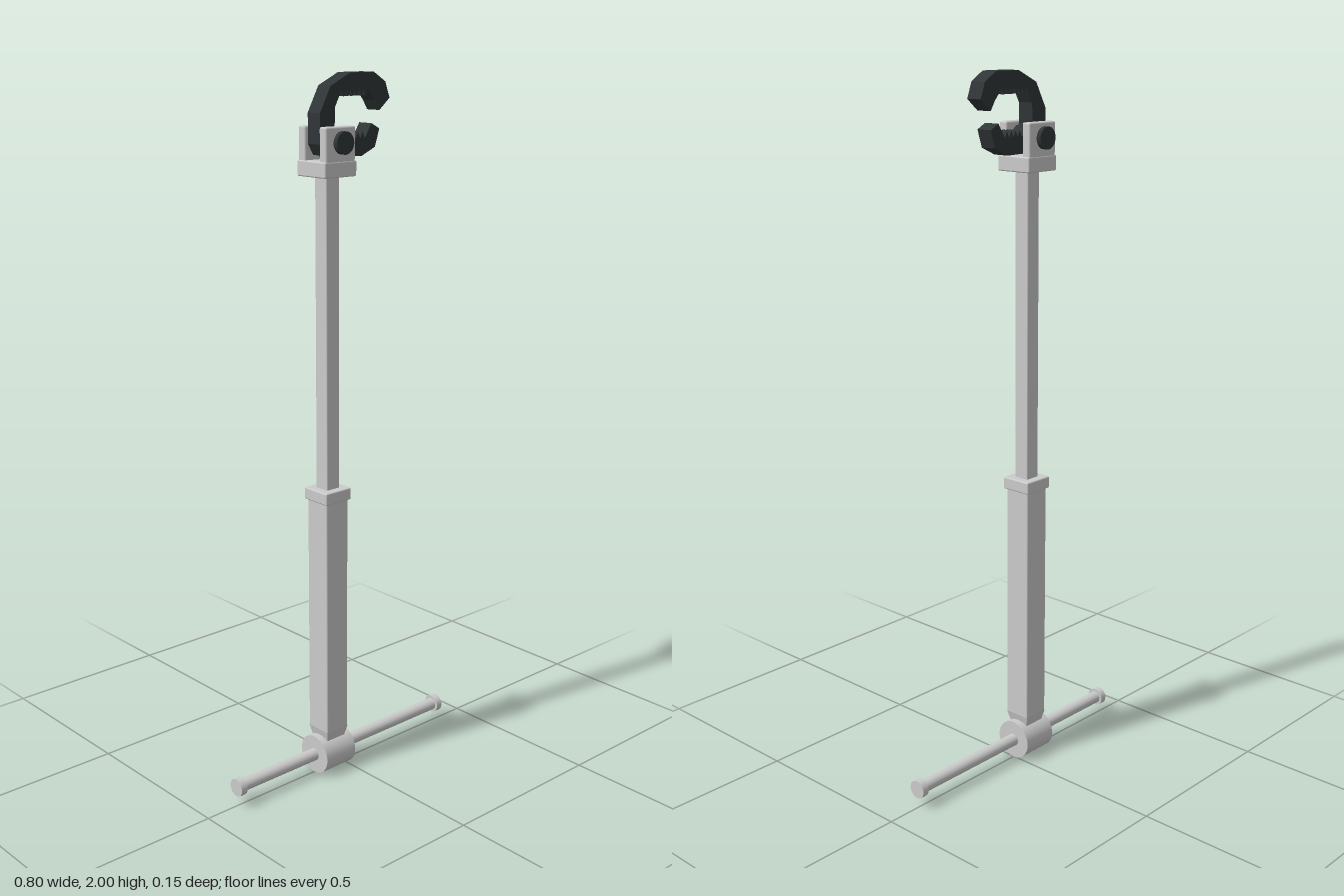
import * as THREE from 'three';
import { RoundedBoxGeometry } from 'three/addons/geometries/RoundedBoxGeometry.js';

const metal = new THREE.MeshStandardMaterial({ color: 0xcccccc });
const dark = new THREE.MeshStandardMaterial({ color: 0x303537 });
const AXIS_X = -0.053; // centre line of the shaft

export function createModel() {
  const model = new THREE.Group();
  model.name = 'basinWrench';

  const add = (name, geometry, material, x, y, z = 0) => {
    const mesh = new THREE.Mesh(geometry, material);
    mesh.name = name;
    mesh.position.set(x, y, z);
    model.add(mesh);
    return mesh;
  };
  const rod = (name, radius, length, axis, material, x, y, z = 0) => {
    const g = new THREE.CylinderGeometry(radius, radius, length, 32);
    if (axis === 'x') g.rotateZ(Math.PI / 2);
    else g.rotateX(Math.PI / 2);
    return add(name, g, material, x, y, z);
  };
  const block = (name, w, y0, y1, d, bevel, x = AXIS_X, z = 0) =>
    add(name, new RoundedBoxGeometry(w, y1 - y0, d, 2, bevel), metal, x, (y0 + y1) / 2, z);

  // Sliding T-handle with end caps, passing through the hub
  rod('handleBar', 0.018, 0.78, 'x', metal, 0, 0.057);
  for (const s of [-1, 1]) rod('handleCap', 0.026, 0.02, 'x', metal, s * 0.39, 0.057);
  rod('hub', 0.057, 0.11, 'x', metal, AXIS_X, 0.057);

  // Telescoping square shaft; the outer tube tapers at its foot
  block('outerTube', 0.08, 0.13, 0.85, 0.08, 0.004);
  const foot = new THREE.CylinderGeometry(0.04 * Math.SQRT2, 0.032 * Math.SQRT2, 0.035, 4);
  foot.rotateY(Math.PI / 4);
  const footMesh = add('tubeFoot', foot.toNonIndexed(), metal, AXIS_X, 0.1175);
  footMesh.geometry.computeVertexNormals();
  block('collar', 0.093, 0.835, 0.87, 0.093, 0.004);
  block('innerShaft', 0.046, 0.86, 1.75, 0.046, 0.003);

  // Forked head with cheek plates, pivot pin and knobs
  block('headBase', 0.112, 1.735, 1.777, 0.112, 0.004);
  for (const s of [-1, 1]) {
    block('cheekPlate', 0.104, 1.74, 1.866, 0.027, 0.005, AXIS_X, s * 0.0415);
    rod('pinKnob', 0.03, 0.014, 'z', dark, AXIS_X, 1.825, s * 0.067);
  }
  rod('pivotPin', 0.02, 0.13, 'z', metal, AXIS_X, 1.825);

  // Zigzag teeth from point a to point b; depth is measured along y
  const teeth = (a, b, count, depth) => {
    const out = [a];
    for (let i = 0; i < count; i++) {
      for (const f of [0.5, 1]) {
        const t = (i + f) / count;
        out.push([a[0] + (b[0] - a[0]) * t, a[1] + (b[1] - a[1]) * t + (f === 0.5 ? depth : 0)]);
      }
    }
    return out;
  };
  const jaw = (name, points) => {
    const shape = new THREE.Shape(points.map(([x, y]) => new THREE.Vector2(x, y)));
    const g = new THREE.ExtrudeGeometry(shape, { depth: 0.048, bevelEnabled: false });
    add(name, g, dark, 0, 0, -0.024);
  };

  // Long curved upper hook
  jaw('upperJaw', [
    [-0.03, 1.79], [-0.08, 1.79], [-0.098, 1.82], [-0.098, 1.9], [-0.061, 1.968],
    [0.008, 2], [0.093, 2], [0.135, 1.974], [0.151, 1.931], [0.114, 1.9], [0.098, 1.926],
    ...teeth([0.071, 1.957], [-0.022, 1.957], 6, -0.017),
    [-0.045, 1.915], [-0.047, 1.86], [-0.015, 1.82],
  ]);
  // Short lower jaw
  jaw('lowerJaw', [
    [-0.06, 1.785], [0.05, 1.783], [0.098, 1.804], [0.114, 1.852], [0.085, 1.867],
    ...teeth([0.061, 1.829], [-0.005, 1.829], 4, 0.017),
    [-0.035, 1.855], [-0.06, 1.855],
  ]);

  return model;
}
